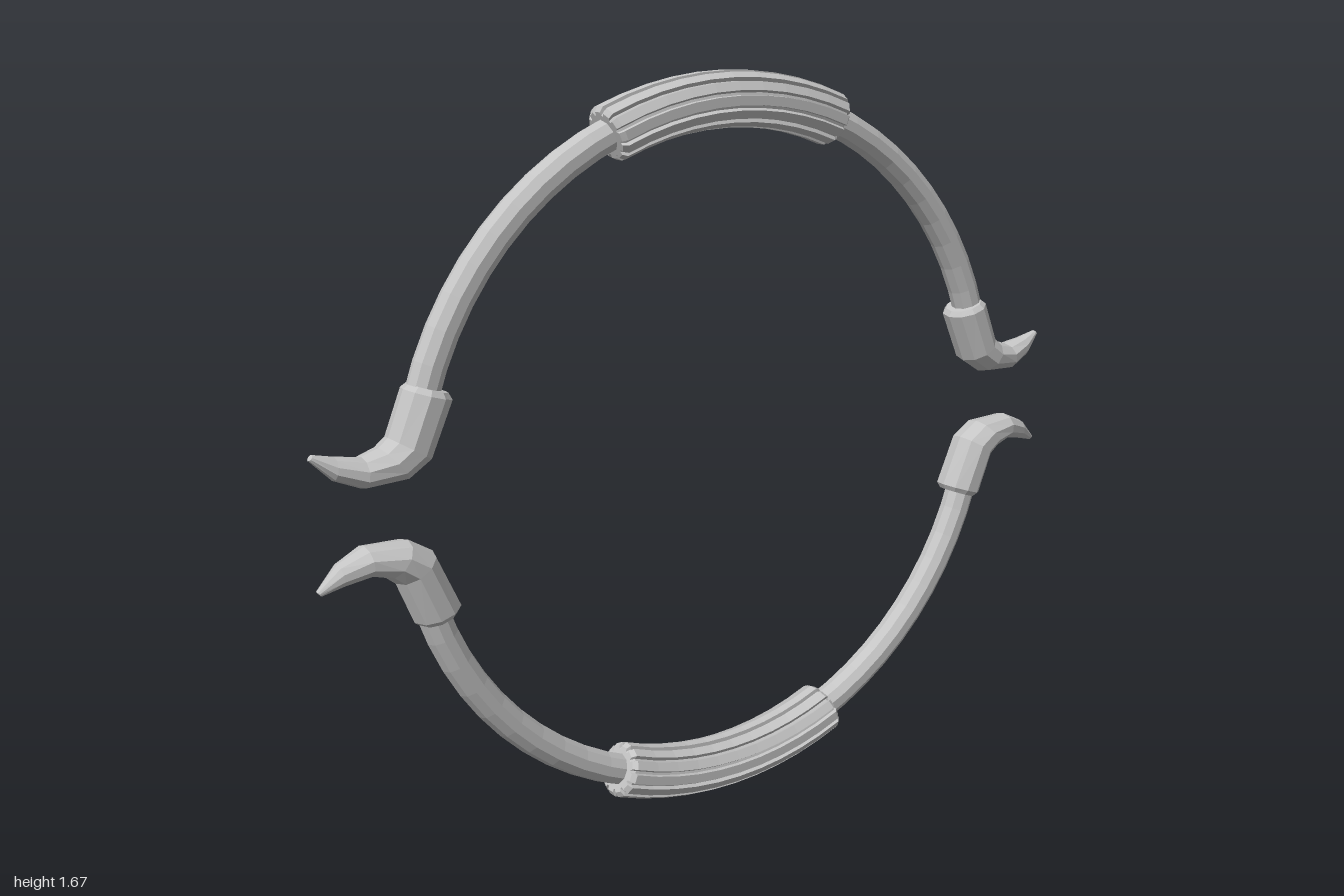
import * as THREE from 'three';

const MID = 0.844;      // height of the gap between the two handles
const ARC_Y = 0.83;     // centre height of the upper arc
const ARC_R = 0.79;
const SIDES = 10;

// Closed outline as [in-plane, sideways] unit factors
const roundProfile = Array.from({ length: SIDES }, (_, k) => {
  const a = (k / SIDES) * Math.PI * 2;
  return [Math.cos(a), Math.sin(a)];
});

// Fluted outline: flat-topped ribs with grooves between them
const ribs = 12;
const ribProfile = [];
for (let i = 0; i < ribs; i++) {
  for (const [f, r] of [[-0.32, 1], [0.32, 1], [0.4, 0.86], [0.6, 0.86]]) {
    const a = ((i + f) / ribs) * Math.PI * 2;
    ribProfile.push([Math.cos(a) * r, Math.sin(a) * r]);
  }
}

// Skin a row of sections { c: centre, n: in-plane half axis, rx: sideways half width }
function skin(sections, profile) {
  const pos = [], idx = [], n = profile.length;
  for (const s of sections) {
    for (const [u, v] of profile) pos.push(v * s.rx, s.c.y + s.n.y * u, s.c.z + s.n.z * u);
  }
  for (let r = 0; r < sections.length - 1; r++) {
    for (let k = 0; k < n; k++) {
      const a = r * n + k, b = r * n + (k + 1) % n;
      idx.push(a, b, b + n, a, b + n, a + n);
    }
  }
  // end faces
  const last = (sections.length - 1) * n, mid = pos.length / 3;
  for (const s of [sections[0], sections[sections.length - 1]]) pos.push(0, s.c.y, s.c.z);
  for (let k = 0; k < n; k++) {
    const j = (k + 1) % n;
    idx.push(mid, j, k, mid + 1, last + k, last + j);
  }
  const g = new THREE.BufferGeometry();
  g.setAttribute('position', new THREE.Float32BufferAttribute(pos, 3));
  g.setIndex(idx);
  g.computeVertexNormals();
  return g;
}

// Section of the arc at an angle measured from +z
function arcSection(angle, radial, rx) {
  const dir = new THREE.Vector3(0, Math.sin(angle), Math.cos(angle));
  const c = dir.clone().multiplyScalar(ARC_R);
  c.y += ARC_Y - MID;
  return { c, n: dir.multiplyScalar(radial), rx };
}

function arcSections(from, to, count, radial, rx) {
  return Array.from({ length: count + 1 }, (_, i) => arcSection(from + (to - from) * i / count, radial, rx));
}

// Foot sections from collar to tip: z, y of the lower edge, z, y of the upper edge, half width
const footRows = [
  [0.697, 1.073, 0.778, 1.100, 0.046],
  [0.690, 1.059, 0.791, 1.091, 0.056],
  [0.743, 0.943, 0.829, 0.997, 0.056],
  [0.797, 0.909, 0.850, 0.980, 0.055],
  [0.893, 0.904, 0.888, 0.968, 0.044],
  [0.952, 0.930, 0.945, 0.978, 0.027],
  [0.999, 0.978, 0.990, 0.989, 0.008],
];

export function createModel() {
  const metal = new THREE.MeshStandardMaterial({ color: 0xc4c4c4 });
  metal.name = 'brushedMetal';
  metal.flatShading = true;

  // bar
  const barGeo = skin(arcSections(0.3, Math.PI - 0.3, 28, 0.036, 0.036), roundProfile);

  // ribbed grip with bevelled ends
  const top = Math.PI / 2, half = 0.395;
  const gripGeo = skin([
    arcSection(top - half, 0.053, 0.056),
    ...arcSections(top - half + 0.012, top + half - 0.012, 10, 0.062, 0.066),
    arcSection(top + half, 0.053, 0.056),
  ], ribProfile);

  // outward-turned foot
  const footGeo = skin(footRows.map(([z1, y1, z2, y2, rx]) => ({
    c: new THREE.Vector3(0, (y1 + y2) / 2 - MID, (z1 + z2) / 2),
    n: new THREE.Vector3(0, (y1 - y2) / 2, (z1 - z2) / 2),
    rx,
  })), roundProfile);

  const model = new THREE.Group();
  model.name = 'handlePair';
  for (const name of ['upperHandle', 'lowerHandle']) {
    const handle = new THREE.Group();
    handle.name = name;
    const add = (geo, part) => {
      const m = new THREE.Mesh(geo, metal);
      m.name = part;
      handle.add(m);
      return m;
    };
    add(barGeo, 'bar');
    add(gripGeo, 'ribbedGrip');
    add(footGeo, 'frontFoot');
    add(footGeo, 'backFoot').rotation.y = Math.PI;
    handle.position.y = MID;
    if (name === 'lowerHandle') handle.rotation.z = Math.PI;
    model.add(handle);
  }
  return model;
}
